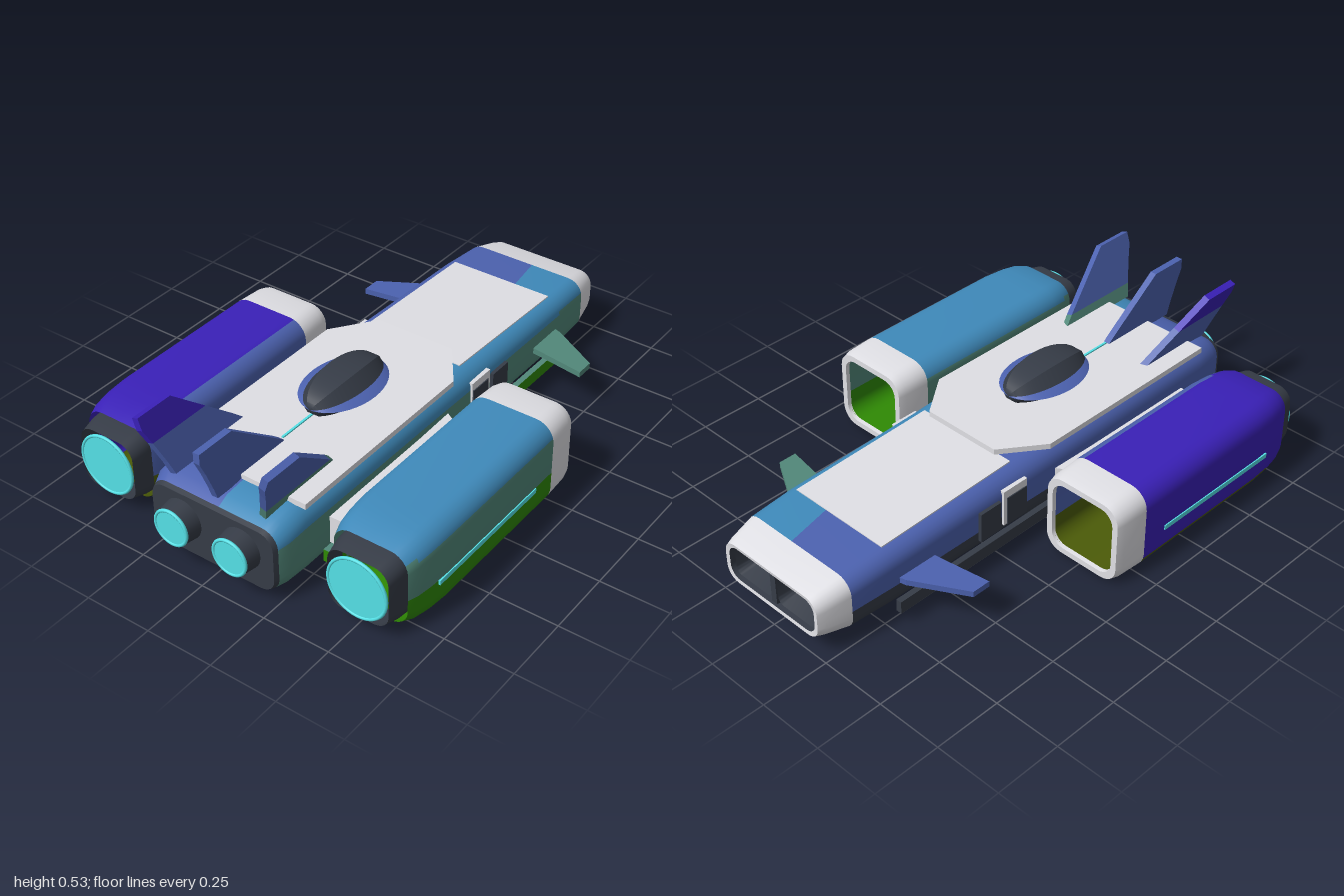
import * as THREE from 'three';
import { toCreasedNormals } from 'three/addons/utils/BufferGeometryUtils.js';

const paint = (name, color, side = THREE.DoubleSide) => {
  const m = new THREE.MeshStandardMaterial({ color, side });
  m.name = name;
  return m;
};

// Closed rounded rectangle, counter-clockwise, with extra points at sideY and topX
function ring([z, w, y0, y1, r, topX = 0], cx, sideY) {
  const p = [];
  const corner = (x, y, start) => {
    for (let i = 0; i <= 6; i++) {
      const a = start + (i / 6) * Math.PI / 2;
      p.push([x + r * Math.cos(a), y + r * Math.sin(a), z]);
    }
  };
  corner(cx + w - r, y0 + r, -Math.PI / 2);
  p.push([cx + w, sideY, z]);
  corner(cx + w - r, y1 - r, 0);
  p.push([cx + topX, y1, z]);
  corner(cx - w + r, y1 - r, Math.PI / 2);
  p.push([cx - w, sideY, z]);
  corner(cx - w + r, y0 + r, Math.PI);
  return p;
}

// Skin over rings; pick(x, y) gives the material index of each face
function loft(sections, { cx = 0, sideY = 0.15, pick = () => 0, capEnd = false }) {
  const rings = sections.map(s => ring(s, cx, sideY));
  const n = rings[0].length, verts = rings.flat(), faces = [];
  const add = (a, b, c, k) => (faces[k] ??= []).push(a, b, c);
  for (let i = 0; i < rings.length - 1; i++) {
    for (let j = 0; j < n; j++) {
      const k = (j + 1) % n, a = i * n + j, b = i * n + k, c = b + n, d = a + n;
      const mid = t => (verts[a][t] + verts[b][t] + verts[c][t] + verts[d][t]) / 4;
      const m = pick(mid(0), mid(1));
      add(a, b, d, m);
      add(b, c, d, m);
    }
  }
  if (capEnd) {
    const [z, , y0, y1] = sections.at(-1), o = verts.length, e = o - n;
    verts.push([cx, (y0 + y1) / 2, z]);
    for (let j = 0; j < n; j++) add(e + j, e + (j + 1) % n, o, 0);
  }
  const g = new THREE.BufferGeometry(), index = [];
  g.setAttribute('position', new THREE.Float32BufferAttribute(verts.flat(), 3));
  faces.forEach((f, m) => { g.addGroup(index.length, f.length, m); index.push(...f); });
  g.setIndex(index);
  return toCreasedNormals(g, 0.6);
}

const extrude = (pts, depth) => new THREE.ExtrudeGeometry(
  new THREE.Shape(pts.map(([x, y]) => new THREE.Vector2(x, y))), { depth, bevelEnabled: false });
// Horizontal plate from [x, z] points
const slab = (pts, y, t) => extrude(pts.map(([x, z]) => [x, -z]), t).rotateX(-Math.PI / 2).translate(0, y, 0);
// Upright plate from [z, y] points, centred on x = 0
const upright = (pts, t) => extrude(pts, t).rotateY(-Math.PI / 2).translate(t / 2, 0, 0);

export function createModel() {
  const model = new THREE.Group();
  model.name = 'spacecraft';
  const white = paint('white', 0xe0e0e5), dark = paint('charcoal', 0x363c47);
  const cyan = paint('cyan', 0x58e8ee, THREE.FrontSide), indigo = paint('indigo', 0x4c62b0);
  const blue = paint('blue', 0x3f8abb), purple = paint('purple', 0x3a20b8);
  const teal = paint('teal', 0x52887a), green = paint('green', 0x2f8a04), olive = paint('olive', 0x4c5c08);

  const add = (name, geo, mat, x = 0, y = 0, z = 0) => {
    const m = new THREE.Mesh(geo, mat);
    m.name = name;
    m.position.set(x, y, z);
    model.add(m);
    return m;
  };
  const box = (name, mat, w, h, d, x, y, z) => add(name, new THREE.BoxGeometry(w, h, d), mat, x, y, z);

  // Main hull; the last value of a section places the colour seam on the roof
  add('hull', loft([
    [-0.88, 0.25, 0.053, 0.262, 0.06, 0.03],
    [-0.71, 0.257, 0.05, 0.272, 0.06, 0.06],
    [-0.15, 0.262, 0.047, 0.29, 0.07, 0.05],
    [0.2, 0.27, 0.043, 0.305, 0.07, 0.03],
    [0.8, 0.272, 0.043, 0.31, 0.07, 0.02],
    [0.88, 0.268, 0.043, 0.302, 0.07, 0.02],
    [0.92, 0.252, 0.045, 0.28, 0.06, 0.02],
  ], {
    sideY: 0.14,
    pick: (x, y) => y < 0.065 ? 0 : x < 0.05 ? (y < 0.13 ? 0 : 1) : y > 0.215 ? 2 : 3,
  }), [dark, indigo, blue, teal]);
  add('rearBulkhead', loft([
    [0.92, 0.252, 0.045, 0.28, 0.06],
    [0.937, 0.245, 0.05, 0.274, 0.055],
  ], { capEnd: true }), dark);

  // Nose with twin intakes
  add('noseCollar', loft([
    [-0.998, 0.206, 0.089, 0.219, 0.042],
    [-1, 0.222, 0.075, 0.232, 0.05],
    [-0.97, 0.232, 0.067, 0.242, 0.055],
    [-0.88, 0.25, 0.053, 0.262, 0.06],
  ], {}), white);
  add('intakeLining', loft([
    [-0.9, 0.2, 0.092, 0.216, 0.042],
    [-0.998, 0.206, 0.089, 0.219, 0.042],
  ], {}), dark);
  box('intakeBack', dark, 0.42, 0.14, 0.01, 0, 0.155, -0.9);
  box('intakeDivider', dark, 0.025, 0.126, 0.09, 0, 0.155, -0.945);
  for (const s of [-1, 1]) {
    add('intakeFrame', loft([
      [-0.91, 0.075, 0.115, 0.195, 0.02],
      [-0.985, 0.09, 0.098, 0.212, 0.025],
    ], { cx: s * 0.104 }), dark);
  }

  // Upper plating
  const plate = box('foredeckPlate', white, 0.41, 0.008, 0.58, 0, 0.281, -0.42);
  plate.rotation.x = -0.032;
  add('deck', slab([[-0.155, -0.155], [0.155, -0.155], [0.267, 0], [0.267, 0.8], [-0.267, 0.8], [-0.267, 0]], 0.307, 0.021), white);
  box('deckLight', cyan, 0.008, 0.006, 0.16, 0, 0.33, 0.5);

  // Faceted canopy and its surround, six sides about the long axis
  const dome = (name, mat, rx, ry, rz) => {
    const g = new THREE.SphereGeometry(1, 6, 20).rotateX(Math.PI / 2);
    add(name, toCreasedNormals(g.scale(rx, ry, rz), 0.5), mat, 0, 0.355, 0.255);
  };
  dome('canopyGlass', dark, 0.108, 0.075, 0.184);
  dome('canopySurround', indigo, 0.13, 0.035, 0.184);

  // Tail fins in three bands
  const finBase = [[0.545, 0], [0.6, 0.045], [0.915, 0.045], [0.9, 0]];
  const finLow = [[0.6, 0.045], [0.7, 0.12], [0.945, 0.12], [0.915, 0.045]];
  const finHigh = [[0.7, 0.12], [0.82, 0.21], [0.968, 0.21], [0.968, 0.17], [0.945, 0.12]];
  for (const s of [-1, 0, 1]) {
    [[finBase, s > 0 ? teal : indigo], [finLow, indigo], [finHigh, s < 0 ? purple : indigo]].forEach(([pts, mat]) => {
      const fin = add('tailFin', upright(pts, 0.025), mat, s * 0.18, 0.305, s ? 0 : 0.012);
      fin.rotation.z = -s * 0.33;
      if (s) fin.scale.y = 1.12;
    });
  }

  // Engine outlets: cyan lip and glowing disc
  const lip = (name, r, tube, x, y, z) => add(name, new THREE.TorusGeometry(r, tube, 8, 40), cyan, x, y, z);
  const glow = (name, r, x, y, z) => {
    add(name + 'Glow', new THREE.CircleGeometry(r, 40), cyan, x, y, z - 0.004);
    lip(name + 'Lip', r, 0.006, x, y, z - 0.006);
  };

  for (const s of [-1, 1]) {
    const right = s > 0, cx = s * 0.511;

    // Hull engines
    add('hullNozzle', new THREE.CylinderGeometry(0.068, 0.077, 0.065, 32, 1, true).rotateX(Math.PI / 2), dark, s * 0.119, 0.177, 0.957);
    add('hullNozzleRim', new THREE.RingGeometry(0.058, 0.068, 32), dark, s * 0.119, 0.177, 0.99);
    glow('hullEngine', 0.064, s * 0.119, 0.177, 1);

    // Side pod: open shell with painted lining, intake collar, square nozzle
    const podPaint = right ? [blue, teal, green] : [purple, indigo, olive];
    const pod = {
      cx, sideY: 0.14,
      pick: (x, y) => right
        ? (y < 0.14 ? 2 : y > 0.272 ? 0 : 1)
        : (y < 0.05 || (x > cx + 0.1 && y < 0.14) ? 2 : x > cx + 0.115 ? 1 : 0),
    };
    add('podShell', loft([
      [0.02, 0.163, 0.004, 0.33, 0.07],
      [0.62, 0.163, 0.004, 0.33, 0.07],
      [0.7, 0.159, 0.008, 0.326, 0.07],
      [0.76, 0.151, 0.016, 0.318, 0.068],
      [0.8, 0.138, 0.029, 0.305, 0.065],
    ], pod), podPaint);
    add('podLining', loft([
      [-0.1, 0.129, 0.038, 0.296, 0.052],
      [0.75, 0.129, 0.038, 0.296, 0.052],
    ], pod), podPaint);
    add('podCollar', loft([
      [-0.095, 0.128, 0.039, 0.295, 0.05],
      [-0.11, 0.13, 0.037, 0.297, 0.052],
      [-0.11, 0.152, 0.015, 0.319, 0.064],
      [-0.08, 0.159, 0.008, 0.326, 0.068],
      [0.02, 0.163, 0.004, 0.33, 0.07],
    ], { cx }), white);
    add('podNozzle', loft([
      [0.775, 0.126, 0.041, 0.293, 0.055],
      [0.81, 0.124, 0.043, 0.291, 0.055],
      [0.865, 0.114, 0.053, 0.281, 0.055],
    ], { cx }), dark);
    glow('podEngine', 0.109, cx, 0.167, 0.875);
    lip('podInnerRing', 0.111, 0.004, cx, 0.167, 0.1);
    box('podLight', cyan, 0.008, 0.018, 0.55, s * 0.674, 0.132, 0.395);

    // Pylon between hull and pod
    add('pylon', slab([[s * 0.255, 0.02], [s * 0.352, 0.08], [s * 0.352, 0.69], [s * 0.255, 0.69]], 0.105, 0.105), white);

    // Side rail, hatches and winglet
    const railPaint = right ? [green, green, teal, green, green, green] : [dark, dark, dark, dark, teal, dark];
    box('sideRail', railPaint, 0.022, 0.047, 1.45, s * 0.286, 0.081, 0.005);
    box('hatchFrame', white, 0.03, 0.14, 0.11, s * 0.255, 0.18, -0.17);
    box('hatch', dark, 0.036, 0.11, 0.092, s * 0.256, 0.165, -0.165);
    box('hatch', dark, 0.036, 0.115, 0.095, s * 0.256, 0.163, -0.288);
    add('winglet', slab([[s * 0.24, -0.69], [s * 0.28, -0.68], [s * 0.472, -0.57], [s * 0.472, -0.5], [s * 0.28, -0.53], [s * 0.24, -0.535]], 0.142, 0.022), right ? teal : indigo);
  }
  return model;
}
